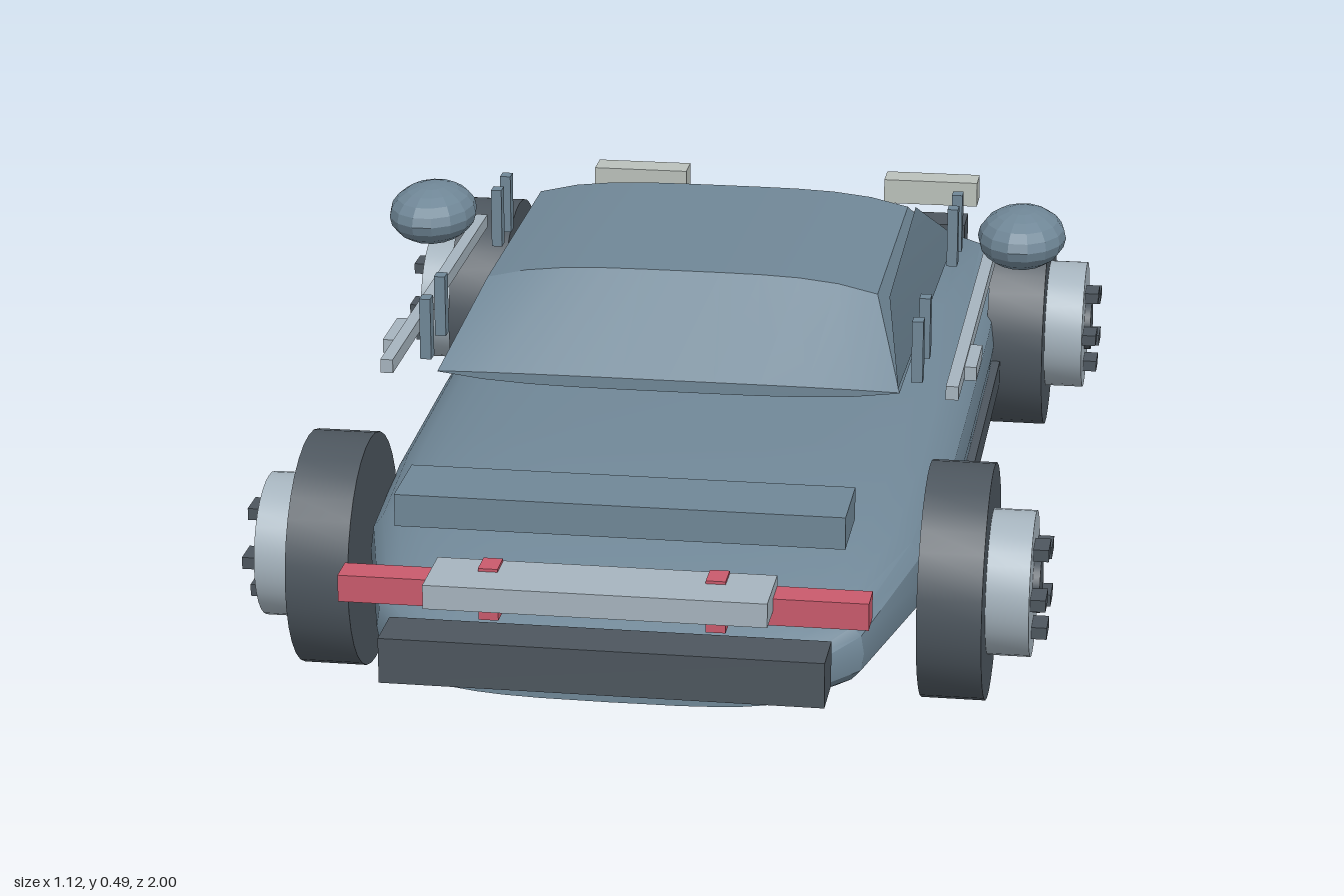
import * as THREE from 'three';
import { toCreasedNormals } from 'three/addons/utils/BufferGeometryUtils.js';

const mat = (name, color) => new THREE.MeshStandardMaterial({ name, color });

// Skin between closed cross-sections, ordered front (+z) to back, with end caps
function loft(rings) {
  const n = rings[0].length, pos = [];
  const tri = (...p) => p.forEach(v => pos.push(...v));
  const centre = r => [0, r.reduce((s, p) => s + p[1], 0) / n, r[0][2]];
  const first = rings[0], last = rings[rings.length - 1];
  for (let j = 0; j < n; j++) {
    const k = (j + 1) % n;
    for (let i = 0; i < rings.length - 1; i++) {
      const a = rings[i][j], b = rings[i][k], c = rings[i + 1][k], d = rings[i + 1][j];
      tri(a, d, b);
      tri(b, d, c);
    }
    tri(centre(first), first[j], first[k]);
    tri(centre(last), last[k], last[j]);
  }
  const g = new THREE.BufferGeometry();
  g.setAttribute('position', new THREE.Float32BufferAttribute(pos, 3));
  return toCreasedNormals(g, 0.45);
}

// Rounded-box cross-section (superellipse)
function bodyRing([z, hw, y0, y1]) {
  const pts = [], n = 32, e = 2 / 3.2;
  const pw = v => Math.sign(v) * Math.abs(v) ** e;
  for (let i = 0; i < n; i++) {
    const t = i / n * Math.PI * 2;
    pts.push([hw * pw(Math.cos(t)), (y0 + y1) / 2 + (y1 - y0) / 2 * pw(Math.sin(t)), z]);
  }
  return pts;
}

// Cabin cross-section: arched floor edge and narrower arched roof
function cabinRing([z, wBase, wTop, yTop, drop]) {
  const pts = [], n = 10;
  for (let i = 0; i <= n; i++) {
    const t = i / n * 2 - 1;
    pts.push([wBase * t, 0.355 + 0.014 * t ** 4, z]);
  }
  for (let i = 0; i <= n; i++) {
    const t = 1 - i / n * 2;
    pts.push([wTop * t, yTop - drop * t ** 4, z]);
  }
  return pts;
}

export function createModel() {
  const model = new THREE.Group();
  model.name = 'car';
  const paint = mat('blue grey paint', 0x708797);
  const dark = mat('dark rubber', 0x4d565e);
  const metal = mat('pale metal', 0xa6b4be);
  const red = mat('red lamp', 0xc95a6c);
  const cream = mat('cream lamp', 0xbac1bb);
  const glass = mat('side glass', 0x5f7482);
  glass.side = THREE.DoubleSide;

  const add = (name, geo, m, parent = model) => {
    const mesh = new THREE.Mesh(geo, m);
    mesh.name = name;
    parent.add(mesh);
    return mesh;
  };
  // Box given by its lower and upper limits
  const box = (name, m, x0, x1, y0, y1, z0, z1, parent) => {
    const b = add(name, new THREE.BoxGeometry(x1 - x0, y1 - y0, z1 - z0), m, parent);
    b.position.set((x0 + x1) / 2, (y0 + y1) / 2, (z0 + z1) / 2);
    return b;
  };
  const pair = (name, m, x0, x1, ...r) => {
    box(name + 'Left', m, x0, x1, ...r);
    box(name + 'Right', m, -x1, -x0, ...r);
  };

  // Lower body: z, half width, bottom, top
  add('body', loft([
    [0.885, 0.26, 0.095, 0.185], [0.81, 0.33, 0.085, 0.222], [0.58, 0.388, 0.075, 0.268],
    [0.35, 0.4, 0.07, 0.28], [0, 0.403, 0.07, 0.285], [-0.35, 0.403, 0.07, 0.282],
    [-0.75, 0.395, 0.075, 0.267], [-0.86, 0.335, 0.083, 0.215], [-0.92, 0.25, 0.092, 0.185],
  ].map(bodyRing)), paint);
  pair('sill', dark, 0.385, 0.412, 0.11, 0.15, -0.44, 0.42);

  // Cabin: z, base half width, roof half width, roof height, arch drop
  add('cabin', loft([
    [0.38, 0.33, 0.33, 0.372, 0.002], [0.24, 0.332, 0.283, 0.49, 0.022],
    [-0.19, 0.332, 0.283, 0.49, 0.022], [-0.33, 0.332, 0.332, 0.372, 0.002],
  ].map(cabinRing)), paint);

  // Loose side pane on the left of the cabin
  const pane = new THREE.BufferGeometry();
  pane.setAttribute('position', new THREE.Float32BufferAttribute([
    0.345, 0.38, -0.33, 0.328, 0.375, 0.38, 0.3, 0.465, 0.24, 0.295, 0.468, -0.19], 3));
  pane.setIndex([0, 2, 1, 0, 3, 2]);
  add('sidePane', toCreasedNormals(pane, 0.3), glass);

  // Window posts, waist rails and door handles
  for (const z of [-0.27, -0.195, 0.24, 0.345])
    pair('windowPost', paint, 0.344, 0.36, 0.378, 0.468, z - 0.011, z + 0.011);
  pair('waistRail', metal, 0.395, 0.413, 0.363, 0.383, -0.33, 0.38);
  pair('doorHandle', metal, 0.413, 0.43, 0.36, 0.38, 0.185, 0.285);

  // Mirrors
  for (const s of [1, -1]) {
    const g = new THREE.SphereGeometry(1, 14, 10).scale(0.067, 0.045, 0.092);
    add('mirror', toCreasedNormals(g, 0.05), paint).position.set(s * 0.456, 0.423, -0.208);
  }

  // Wheels
  for (const s of [1, -1]) for (const z of [0.555, -0.575]) {
    const wheel = new THREE.Group();
    wheel.name = 'wheel';
    wheel.position.set(0, 0.164, z);
    const disc = (name, m, r, x0, x1) => {
      const g = new THREE.CylinderGeometry(r, r, x1 - x0, 32).rotateZ(Math.PI / 2);
      add(name, toCreasedNormals(g, 0.5), m, wheel).position.x = s * (x0 + x1) / 2;
    };
    disc('tyre', dark, 0.164, 0.39, 0.478);
    disc('hub', metal, 0.101, 0.47, 0.537);
    disc('hubCap', dark, 0.04, 0.53, 0.547);
    for (let i = 0; i < 5; i++) {
      const a = i / 5 * Math.PI * 2;
      const lug = add('lug', new THREE.BoxGeometry(0.027, 0.017, 0.045), dark, wheel);
      lug.position.set(s * 0.545, 0.06 * Math.sin(a), 0.06 * Math.cos(a));
    }
    model.add(wheel);
  }

  // Fittings at the +z end
  box('wing', paint, -0.303, 0.303, 0.298, 0.343, 0.69, 0.805);
  box('frontBumper', dark, -0.295, 0.295, 0.137, 0.2, 0.885, 0.96);
  box('shelf', metal, -0.225, 0.225, 0.262, 0.295, 0.9, 1);
  pair('redLamp', red, 0.18, 0.35, 0.243, 0.28, 0.9, 0.945);
  pair('smallRedLamp', red, 0.137, 0.163, 0.227, 0.299, 0.903, 0.942);

  // Fittings at the -z end
  box('rearBumper', dark, -0.31, 0.31, 0.15, 0.215, -0.988, -0.92);
  box('rearPlate', paint, -0.165, 0.165, 0.097, 0.155, -1, -0.978);
  pair('creamLamp', cream, 0.17, 0.328, 0.242, 0.283, -0.993, -0.943);
  return model;
}
